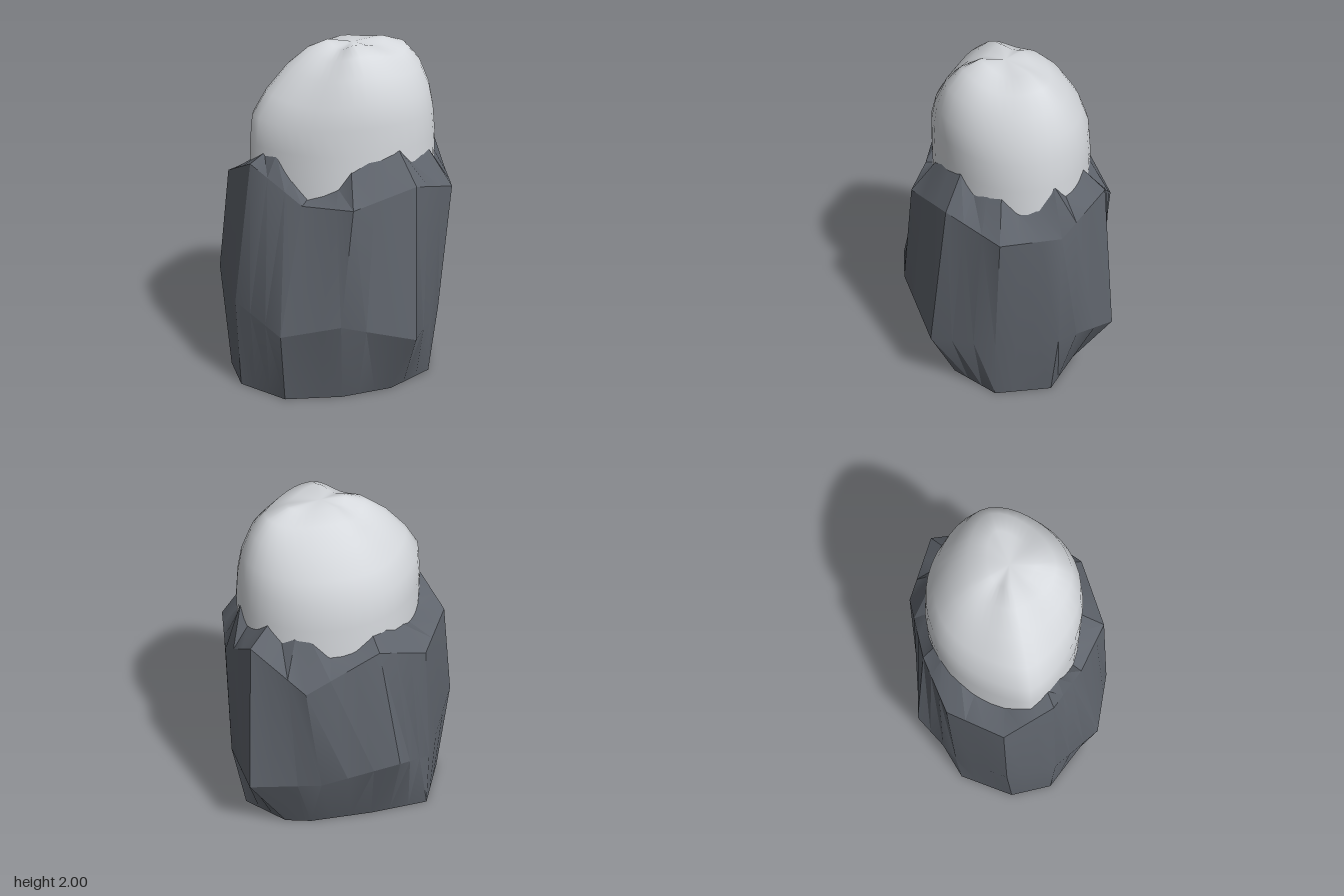
import * as THREE from 'three';
import { toCreasedNormals } from 'three/addons/utils/BufferGeometryUtils.js';

const rockMat = new THREE.MeshStandardMaterial({ color: 0x5f646c });
rockMat.name = 'slate grey';
const snowMat = new THREE.MeshStandardMaterial({ color: 0xd6d9dd });
snowMat.name = 'pale white';

// Skins closed rings (bottom to top, counter-clockwise from above); optional end points.
function loft(rings, bottom, top) {
  const n = rings[0].length;
  const pos = rings.flat(2);
  const idx = [];
  for (let r = 0; r < rings.length - 1; r++) {
    for (let i = 0; i < n; i++) {
      const j = (i + 1) % n;
      const a = r * n + i, b = r * n + j, c = b + n, d = a + n;
      idx.push(a, b, d, b, c, d);
    }
  }
  const cap = (p, first, flip) => {
    const k = pos.length / 3;
    pos.push(...p);
    for (let i = 0; i < n; i++) {
      const a = first + i, b = first + (i + 1) % n;
      if (flip) idx.push(b, a, k); else idx.push(a, b, k);
    }
  };
  if (bottom) cap(bottom, 0, true);
  if (top) cap(top, (rings.length - 1) * n, false);
  const g = new THREE.BufferGeometry();
  g.setAttribute('position', new THREE.Float32BufferAttribute(pos, 3));
  g.setIndex(idx);
  g.computeVertexNormals();
  return g;
}

// Splits every edge of a ring into equal parts.
function subdivide(ring, parts) {
  return ring.flatMap((p, i) => {
    const q = ring[(i + 1) % ring.length];
    return Array.from({ length: parts }, (_, k) => p.map((v, c) => v + (q[c] - v) * k / parts));
  });
}

// Egg-shaped outline of the cap; angle 0 faces the front.
const CX = 0.05, CZ = 0;
const BASE = [-0.5, 0.565, -0.445, 0.4];
function outline(t, [x0, x1, z0, z1], scale = 1) {
  const s = Math.sin(t), c = Math.cos(t);
  const f = scale * (1 - 0.1 * Math.max(0, -s) * Math.abs(Math.sin(2 * t)));
  return [
    CX + f * s * (s > 0 ? x1 - CX : CX - x0),
    CZ + f * c * (c > 0 ? z1 - CZ : CZ - z0),
  ];
}

function makeRock() {
  const bottom = [
    [-0.1, 0, 0.43], [0.2, 0, 0.42], [0.48, 0, 0.29], [0.59, 0, -0.02], [0.42, 0, -0.26], [0.28, 0, -0.32],
    [-0.08, 0, -0.38], [-0.43, 0, -0.41], [-0.62, 0, -0.13], [-0.62, 0, 0.12], [-0.42, 0, 0.36],
  ];
  const middle = [
    [-0.15, 0.53, 0.57], [0.28, 0.4, 0.6], [0.52, 0.42, 0.31], [0.66, 0.44, -0.02], [0.66, 0.44, -0.37], [0.28, 0.45, -0.51],
    [-0.16, 0.55, -0.6], [-0.42, 0.39, -0.43], [-0.66, 0.64, -0.17], [-0.64, 0.55, 0.13], [-0.46, 0.45, 0.44],
  ];
  const shoulder = [
    [-0.07, 1.2, 0.53], [0.3, 1.28, 0.49], [0.58, 1.18, 0.31], [0.66, 1.17, -0.02], [0.6, 1.36, -0.31], [0.36, 1.12, -0.5],
    [-0.06, 1.29, -0.5], [-0.36, 1.17, -0.44], [-0.59, 1.23, -0.17], [-0.53, 1.37, 0.12], [-0.3, 1.18, 0.34],
  ];
  // Heights of the jagged lip, three per shoulder edge
  const lip = [
    1.37, 1.42, 1.43, 1.46, 1.37, 1.39, 1.4, 1.31, 1.33, 1.46, 1.36,
    1.38, 1.44, 1.36, 1.4, 1.39, 1.28, 1.29, 1.37, 1.37, 1.33, 1.32,
    1.28, 1.27, 1.28, 1.33, 1.36, 1.42, 1.43, 1.3, 1.2, 1.23, 1.27,
  ];
  const rings = [bottom, middle, shoulder].map((r) => subdivide(r, 3));
  rings.push(rings[2].map(([x, , z], i) => {
    const a = x > CX ? BASE[1] - CX : CX - BASE[0];
    const b = z > CZ ? BASE[3] - CZ : CZ - BASE[2];
    const [px, pz] = outline(Math.atan2((x - CX) / a, (z - CZ) / b), BASE, 0.985);
    return [px, lip[i], pz];
  }));
  return toCreasedNormals(loft(rings, [0, 0, 0]), 0.4);
}

function makeCap() {
  // height, x range, z range, lumpiness
  const levels = [
    [1.1, BASE, 0], [1.45, BASE, 0],
    [1.6, [-0.48, 0.55, -0.43, 0.4], 0.008],
    [1.72, [-0.4, 0.525, -0.38, 0.385], 0.014],
    [1.85, [-0.28, 0.47, -0.29, 0.335], 0.018],
    [1.94, [-0.16, 0.39, -0.19, 0.25], 0.02],
    [1.98, [-0.05, 0.27, -0.09, 0.15], 0.018],
  ];
  const n = 40;
  const rings = levels.map(([y, box, lump]) => Array.from({ length: n }, (_, i) => {
    const t = i / n * Math.PI * 2;
    const wave = lump * (0.6 * Math.cos(4 * t) + 0.4 * Math.sin(3 * t + 1));
    const [x, z] = outline(t, box, 1 + wave);
    return [x, y + wave, z];
  }));
  return loft(rings, null, [0.08, 1.98, 0.02]);
}

export function createModel() {
  const group = new THREE.Group();
  group.name = 'cappedRock';
  const parts = [['rockPillar', makeRock(), rockMat], ['roundedCap', makeCap(), snowMat]];
  for (const [name, geometry, material] of parts) {
    const mesh = new THREE.Mesh(geometry, material);
    mesh.name = name;
    group.add(mesh);
  }
  return group;
}
